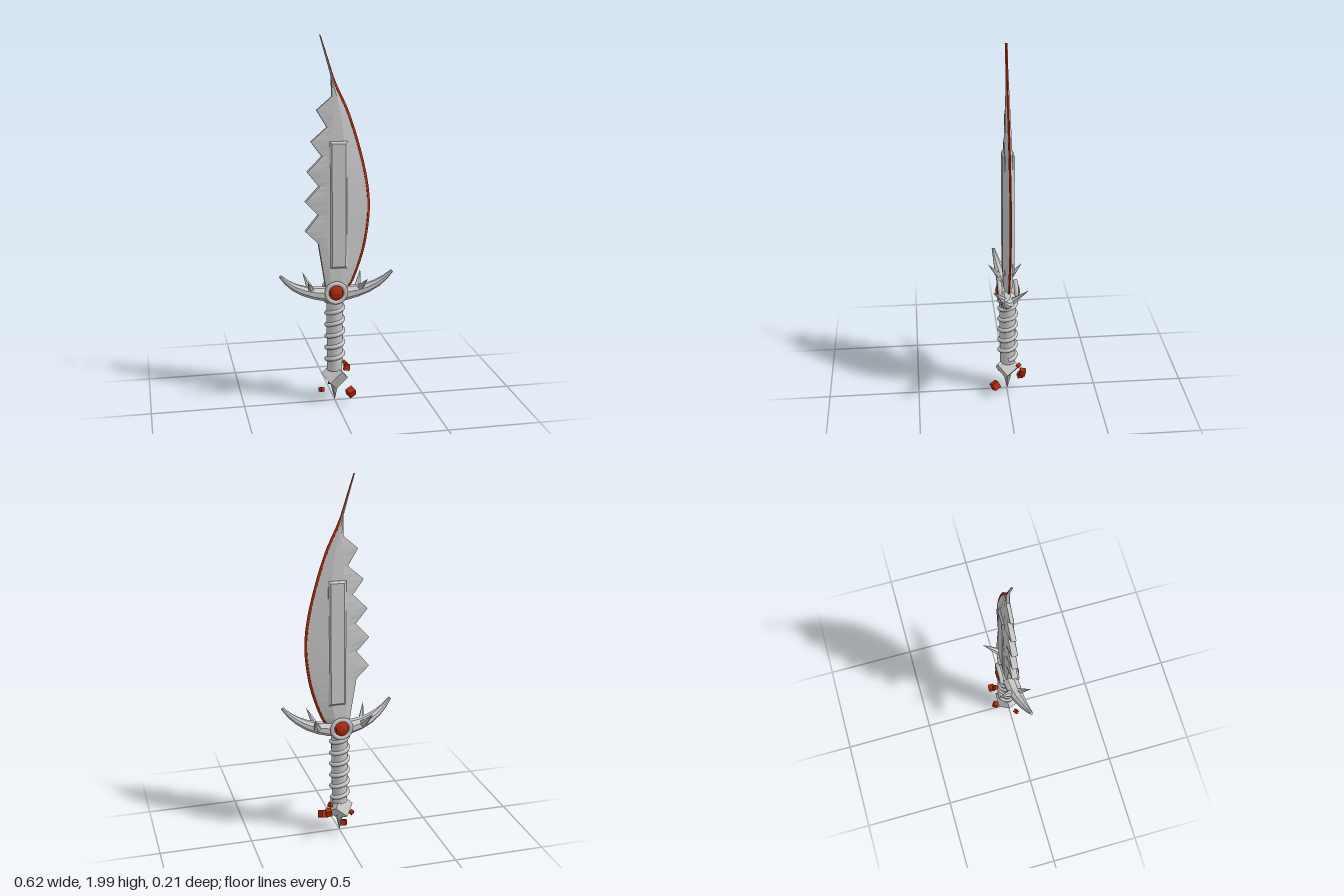
import * as THREE from 'three';

const V = (x, y, z) => new THREE.Vector3(x, y, z);

// Skin closed rings (counter-clockwise seen from the far end) and cap both ends
function loft(rings) {
  const pos = [];
  const tri = (...pts) => pts.forEach((p) => pos.push(p.x, p.y, p.z));
  const n = rings[0].length;
  for (let r = 0; r < rings.length - 1; r++) {
    const a = rings[r], b = rings[r + 1];
    for (let i = 0; i < n; i++) {
      const j = (i + 1) % n;
      tri(a[i], a[j], b[j]);
      tri(a[i], b[j], b[i]);
    }
  }
  const first = rings[0], last = rings[rings.length - 1];
  for (let i = 1; i < n - 1; i++) {
    tri(first[0], first[i + 1], first[i]);
    tri(last[0], last[i], last[i + 1]);
  }
  const g = new THREE.BufferGeometry();
  g.setAttribute('position', new THREE.Float32BufferAttribute(pos, 3));
  g.computeVertexNormals();
  return g;
}

// x on a polyline of [x, y] points sorted by rising y
function xAt(line, y) {
  for (let i = 1; i < line.length; i++) {
    const [x0, y0] = line[i - 1], [x1, y1] = line[i];
    if (y <= y1) return x0 + (x1 - x0) * THREE.MathUtils.clamp((y - y0) / (y1 - y0), 0, 1);
  }
  return line[line.length - 1][0];
}

export function createModel() {
  const steel = new THREE.MeshStandardMaterial({ color: 0xc8c8c8 });
  steel.name = 'steel';
  const red = new THREE.MeshStandardMaterial({ color: 0xb02a0c });
  red.name = 'red crystal';

  const sword = new THREE.Group();
  sword.name = 'sword';
  const OFF = -0.004;
  const add = (name, geo, mat, x = 0, y = 0, z = OFF, flat = true) => {
    if (flat && geo.index) {
      geo = geo.toNonIndexed();
      geo.computeVertexNormals();
    }
    const m = new THREE.Mesh(geo, mat);
    m.name = name;
    m.position.set(x, y, z);
    sword.add(m);
    return m;
  };

  // Blade outline: saw-toothed back and curved cutting edge
  const back = [[-0.045, 0.62], [-0.055, 0.69], [-0.09, 0.908], [-0.159, 0.976], [-0.09, 1.061],
    [-0.159, 1.135], [-0.085, 1.215], [-0.148, 1.294], [-0.069, 1.374], [-0.127, 1.453],
    [-0.042, 1.527], [-0.097, 1.617], [-0.018, 1.685], [-0.02, 1.79], [-0.079, 2]];
  const valleys = [[-0.045, 0.62], [-0.09, 0.908], [-0.085, 1.215], [-0.042, 1.527],
    [-0.018, 1.685], [-0.02, 1.79], [-0.079, 2]];
  const edge = new THREE.CatmullRomCurve3([[0.05, 0.62], [0.09, 0.67], [0.135, 0.78], [0.168, 0.9],
    [0.19, 1.09], [0.177, 1.24], [0.127, 1.45], [0.07, 1.62], [0.003, 1.765], [-0.035, 1.88], [-0.074, 2]]
    .map(([x, y]) => V(x, y, 0))).getPoints(120).map((p) => [p.x, p.y]);
  const heights = [...new Set([...back.map((p) => p[1]),
    ...Array.from({ length: 28 }, (_, i) => 0.645 + i * 0.0495)])].sort((a, b) => a - b);

  const bladeRings = [], edgeRings = [];
  for (const y of heights) {
    const l = xAt(back, y), v = xAt(valleys, y), r = xAt(edge, y);
    const slim = THREE.MathUtils.clamp((2.06 - y) / 0.75, 0.28, 1);
    const rim = Math.min(0.012, (r - v) * 0.4);
    const inner = r - rim;
    const m1 = v + (inner - v) * 0.2, m2 = v + (inner - v) * 0.6;
    const ts = 0.016 * slim, tm = 0.025 * slim, te = 0.004;
    bladeRings.push([V(inner, y, te), V(inner, y, -te), V(m2, y, -tm), V(m1, y, -tm),
      V(l, y, -ts), V(l, y, ts), V(m1, y, tm), V(m2, y, tm)]);
    edgeRings.push([V(r + 0.001, y, 0), V(inner, y, -0.006), V(inner - rim * 0.3, y, 0), V(inner, y, 0.006)]);
  }
  add('blade', loft(bladeRings), steel);
  add('cuttingEdge', loft(edgeRings), red);

  // Raised bevelled panel standing out of both blade faces
  const panelRing = (inset, z) => [V(-0.031 + inset, 0.768 + inset, z), V(0.066 - inset, 0.768 + inset, z),
    V(0.066 - inset, 1.455 - inset, z), V(-0.031 + inset, 1.455 - inset, z)];
  add('bladePanel', loft([panelRing(0.012, -0.032), panelRing(0, -0.022),
    panelRing(0, 0.022), panelRing(0.012, 0.032)]), steel);

  // Crescent guard: [x, y, z, height radius, depth radius, tilt] from the middle outward
  const half = [[0, 0.625, 0, 0.042, 0.046, 0], [0.06, 0.627, 0.002, 0.039, 0.045, 0.1],
    [0.12, 0.638, 0.007, 0.033, 0.041, 0.25], [0.175, 0.655, 0.016, 0.027, 0.033, 0.42],
    [0.225, 0.681, 0.028, 0.021, 0.025, 0.62], [0.268, 0.714, 0.039, 0.015, 0.016, 0.8],
    [0.303, 0.752, 0.049, 0.008, 0.009, 0.9]];
  const stations = [...half.slice(1).reverse().map(([x, y, z, h, d, t]) => [-x, y, z, h, d, -t]), ...half];
  add('guard', loft(stations.map(([x, y, z, h, d, t]) => Array.from({ length: 8 }, (_, i) => {
    const a = ((i + 0.5) / 8) * Math.PI * 2;
    const u = Math.cos(a) * h;
    return V(x - Math.sin(t) * u, y + Math.cos(t) * u, z + Math.sin(a) * d);
  }))), steel, 0, 0, 0);

  // Four thorns on the guard
  for (const sx of [-1, 1]) for (const sz of [-1, 1]) {
    const from = V(sx * 0.128, 0.645, sz * 0.015), to = V(sx * 0.161, 0.725, sz * 0.095);
    const dir = to.clone().sub(from);
    const mid = from.clone().add(to).multiplyScalar(0.5);
    const thorn = add('guardThorn', new THREE.ConeGeometry(0.021, dir.length(), 6), steel, mid.x, mid.y, mid.z + OFF);
    thorn.quaternion.setFromUnitVectors(V(0, 1, 0), dir.normalize());
  }

  // Medallion with a red gem on each side
  const drum = add('medallionCore', new THREE.CylinderGeometry(0.05, 0.05, 0.09, 24), steel, 0, 0.64);
  drum.rotation.x = Math.PI / 2;
  for (const s of [-1, 1]) {
    const ring = add('medallionRing', new THREE.TorusGeometry(0.052, 0.012, 8, 28), steel, 0, 0.64, OFF + s * 0.045, false);
    ring.rotation.y = s < 0 ? Math.PI : 0;
    const gem = add('gem', new THREE.SphereGeometry(0.041, 10, 8), red, 0, 0.64, OFF + s * 0.045);
    gem.scale.z = 0.55;
  }

  // Grip and its spiral wrap
  add('grip', new THREE.CylinderGeometry(0.046, 0.042, 0.42, 16), steel, 0, 0.4, OFF, false);
  const turns = 5.6;
  const spiral = Array.from({ length: 91 }, (_, i) => {
    const a = (i / 90) * turns * Math.PI * 2;
    return V(Math.cos(a) * 0.045, 0.22 + (i / 90) * 0.37, -Math.sin(a) * 0.045);
  });
  add('gripWrap', new THREE.TubeGeometry(new THREE.CatmullRomCurve3(spiral), 200, 0.012, 8), steel, 0, 0, OFF, false);

  // Tumbled cube pommel with a spike below
  const pommel = add('pommel', new THREE.BoxGeometry(0.088, 0.088, 0.088), steel, 0, 0.153);
  pommel.rotation.set(0.5, 0.45, 0.6);
  const spike = add('pommelSpike', new THREE.ConeGeometry(0.026, 0.11, 8), steel, 0, 0.066);
  spike.rotation.x = Math.PI;

  // Loose red shards around the pommel: [x, y, z, size]
  [[0.075, 0.08, 0.072, 0.04], [0.083, 0.165, -0.08, 0.033], [0.067, 0.2, -0.06, 0.022],
    [-0.003, 0.092, -0.078, 0.03], [-0.08, 0.09, 0.03, 0.022]].forEach(([x, y, z, s], i) => {
    const shard = add('shard', new THREE.BoxGeometry(s, s, s), red, x, y, z);
    shard.rotation.set(0.4 + i * 0.5, 0.5 + i * 0.9, 0.2 + i * 0.3);
  });

  return sword;
}
